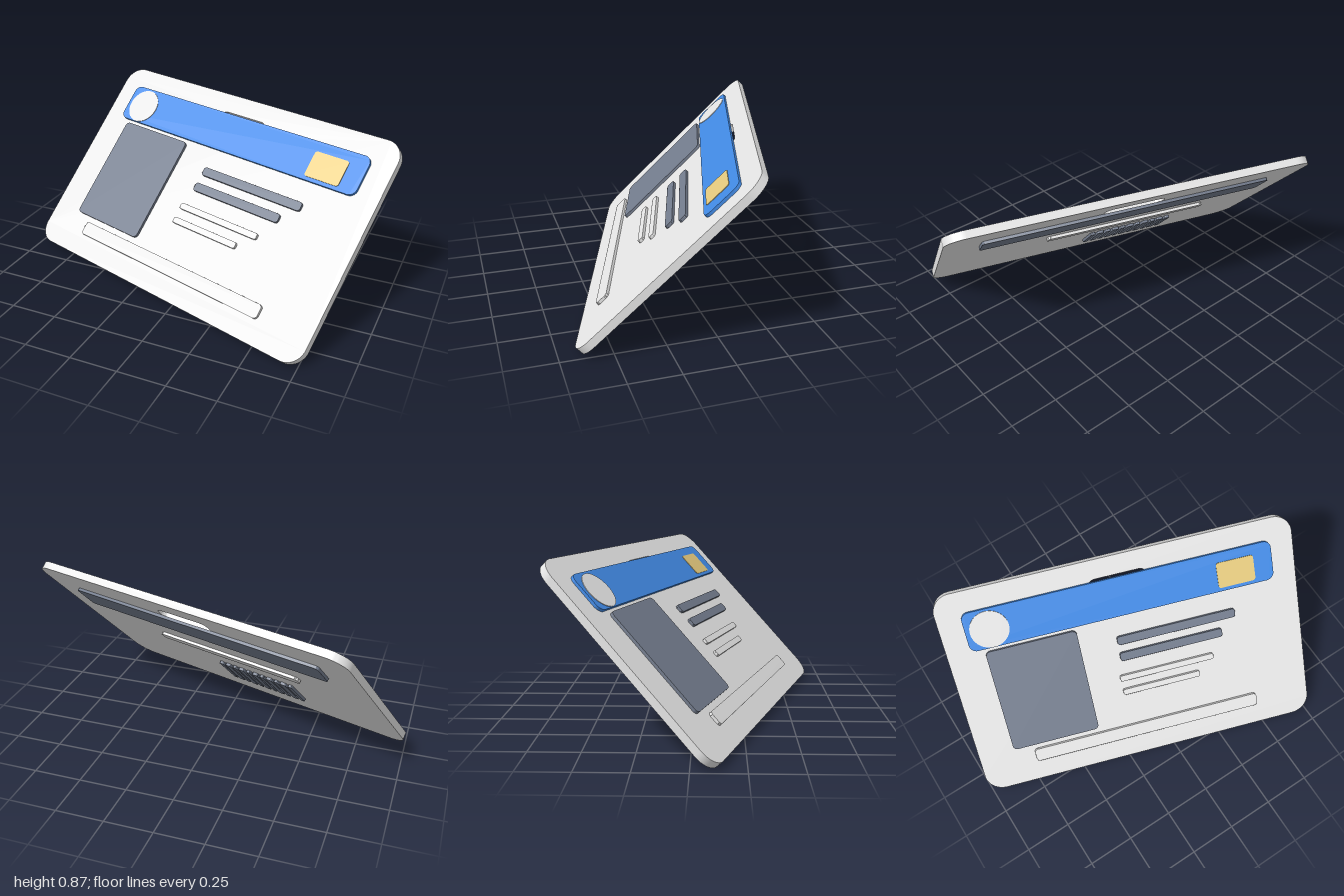
import * as THREE from 'three';
import { mergeVertices, toCreasedNormals } from 'three/addons/utils/BufferGeometryUtils.js';

const material = (name, color) => Object.assign(new THREE.MeshStandardMaterial({ color }), { name });

// Rounded rectangle centred on (x, y)
function roundedRect(path, x, y, w, h, r) {
  const a = w / 2 - r, b = h / 2 - r;
  path.absarc(x + a, y + b, r, 0, Math.PI / 2);
  path.absarc(x - a, y + b, r, Math.PI / 2, Math.PI);
  path.absarc(x - a, y - b, r, Math.PI, Math.PI * 1.5);
  path.absarc(x + a, y - b, r, Math.PI * 1.5, Math.PI * 2);
  path.closePath();
  return path;
}

const extrude = (shape, depth) =>
  new THREE.ExtrudeGeometry(shape, { depth, bevelEnabled: false, curveSegments: 8 });

export function createModel() {
  const white = material('card white', 0xeaeaea);
  const blue = material('header blue', 0x4590ee);
  const slate = material('slate grey', 0x757e8f);
  const gold = material('chip gold', 0xe8cd80);

  const T = 0.04;          // card thickness
  const RAISE = 0.015;     // height of the raised details
  const model = new THREE.Group();
  const card = new THREE.Group();
  card.name = 'card';
  model.add(card);

  function add(name, geometry, mat, z) {
    const mesh = new THREE.Mesh(geometry, mat);
    mesh.name = name;
    mesh.position.z = z;
    card.add(mesh);
    return mesh;
  }

  // Raised plate on the front (side 1) or the back (side -1)
  function plate(name, mat, x, y, w, h, r, { side = 1, soft = false, base = T / 2, depth = RAISE } = {}) {
    let geo = extrude(roundedRect(new THREE.Shape(), x, y, w, h, r), depth);
    if (soft) {            // thin strips are shaded softly all round
      geo.deleteAttribute('normal');
      geo.deleteAttribute('uv');
      geo = mergeVertices(geo);
      geo.computeVertexNormals();
    } else {
      geo = toCreasedNormals(geo, 0.6);
    }
    return add(name, geo, mat, side > 0 ? base : -base - depth);
  }

  // Card body with the lanyard slot cut through it
  const body = roundedRect(new THREE.Shape(), 0, 0, 1.868, 1.176, 0.1);
  body.holes.push(roundedRect(new THREE.Path(), 0, 0.437, 0.31, 0.096, 0.04));
  add('cardBody', toCreasedNormals(extrude(body, T), 0.6), white, -T / 2);

  // Front: header band with round emblem and chip
  plate('headerBand', blue, 0, 0.367, 1.62, 0.214, 0.04);
  const onBand = { base: T / 2 + RAISE, depth: 0.003 };
  plate('emblemDisc', white, -0.687, 0.362, 0.2, 0.2, 0.0999, onBand);
  plate('chip', gold, 0.61, 0.35, 0.2, 0.14, 0.015, onBand);

  // Front: photo panel
  plate('photoPanel', slate, -0.503, -0.06, 0.477, 0.6, 0.025);

  // Front: strips standing for lines of writing [x, y, width, height]
  const soft = { soft: true };
  [[0.255, 0.123, 0.645, 0.048], [0.212, 0.028, 0.563, 0.048]].forEach(([x, y, w, h]) =>
    plate('darkLine', slate, x, y, w, h, 0.015, soft));
  [[0.167, -0.098, 0.52, 0.034], [0.124, -0.182, 0.43, 0.034]].forEach(([x, y, w, h]) =>
    plate('lightLine', white, x, y, w, h, 0.012, soft));
  plate('footerStrip', white, 0, -0.43, 1.27, 0.075, 0.02, soft);

  // Back: magnetic stripe, signature strip and bar pattern
  plate('magneticStripe', slate, 0, 0.328, 1.5, 0.17, 0.02, { side: -1 });
  plate('signatureStrip', white, -0.07, 0.04, 0.88, 0.058, 0.018, { side: -1, soft: true });
  for (let i = 0; i < 11; i++) {
    const w = i % 2 ? 0.036 : 0.026;
    plate('backBar', slate, -0.155 + (i - 5) * 0.0445, -0.26, w, 0.22, 0.008, { side: -1, soft: true });
  }

  // Lean back and turn
  card.rotation.order = 'YXZ';
  card.rotation.set(THREE.MathUtils.degToRad(-44), THREE.MathUtils.degToRad(-18), 0);
  card.position.y = 0.437;
  return model;
}
